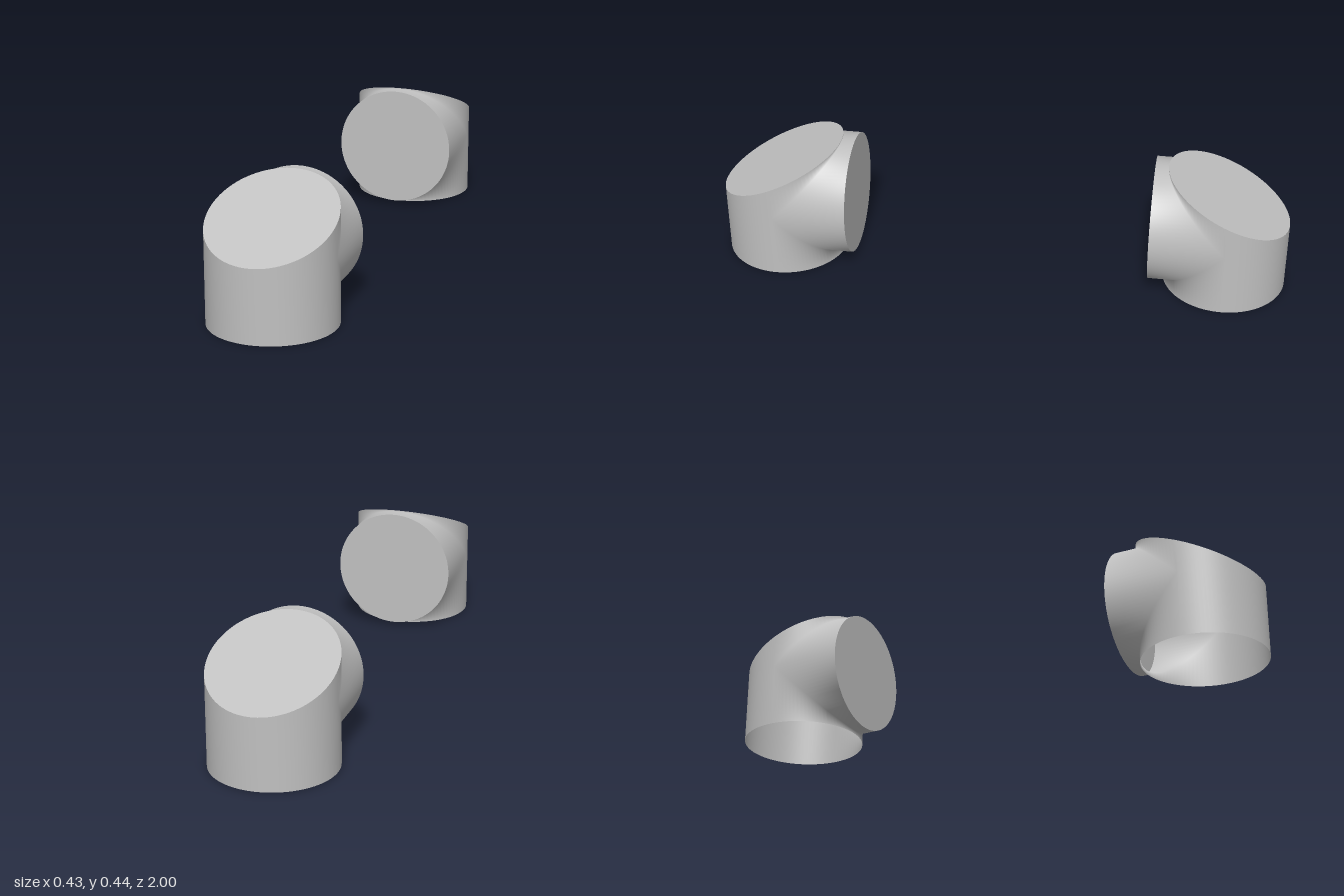
import * as THREE from 'three';
import { mergeVertices } from 'three/addons/utils/BufferGeometryUtils.js';

const R = 0.214;        // radius of both tubes
const ZC = 0.786;       // axis of the upright tube
const YC = 0.227;       // axis of the level tube
const Z_END = 0.526;    // closed end of the level tube
const SEG = 48;         // segments per half turn

// Curves of the elbow, all driven by the angle p about the upright axis
// (p = 0 points along the level tube).
const ring = (y) => (p) => new THREE.Vector3(R * Math.sin(p), y(p), ZC - R * Math.cos(p));
const foot = ring(() => 0);
const rim = ring((p) => 0.346 + 0.0985 * Math.cos(p));
const seamLow = ring((p) => YC - R * Math.cos(p));
const seamHigh = ring((p) => YC + R * Math.cos(p));
const endLow = (p) => seamLow(p).setZ(Z_END);
const endHigh = (p) => seamHigh(p).setZ(Z_END);
const rimCentre = () => new THREE.Vector3(0, 0.346, ZC);

const INNER = -Math.PI / 2;
const OUTER = Math.PI / 2;

// Joins strips of quads between pairs of curves into one smooth surface
function surface(strips) {
  const pos = [];
  for (const [low, high, start] of strips) {
    for (let i = 0; i < SEG; i++) {
      const p = start + (Math.PI * i) / SEG;
      const q = start + (Math.PI * (i + 1)) / SEG;
      const [a, b, c, d] = [low(p), high(p), high(q), low(q)];
      for (const tri of [[a, b, c], [a, c, d]]) {
        const area = new THREE.Triangle(...tri).getArea();
        if (area > 1e-9) for (const v of tri) pos.push(v.x, v.y, v.z);
      }
    }
  }
  const geo = new THREE.BufferGeometry();
  geo.setAttribute('position', new THREE.Float32BufferAttribute(pos, 3));
  const merged = mergeVertices(geo, 1e-5);
  merged.computeVertexNormals();
  return merged;
}

export function createModel() {
  const group = new THREE.Group();
  group.name = 'pipeElbows';
  const grey = new THREE.MeshStandardMaterial({ color: 0xc0c0c0, side: THREE.DoubleSide });
  grey.name = 'grey';

  const parts = {
    // hollow wall of both tubes, open at the foot
    tubeWall: surface([
      [foot, rim, OUTER],
      [foot, seamLow, INNER],
      [seamHigh, rim, INNER],
      [seamLow, endLow, INNER],
      [endHigh, seamHigh, INNER],
    ]),
    // sloping lid
    slopedCap: surface([[rim, rimCentre, INNER], [rim, rimCentre, OUTER]]),
    // flat disc closing the level tube
    endDisc: surface([[endLow, endHigh, INNER]]),
  };

  // two elbows facing each other
  ['frontElbow', 'backElbow'].forEach((name, i) => {
    const elbow = new THREE.Group();
    elbow.name = name;
    for (const [part, geo] of Object.entries(parts)) {
      const mesh = new THREE.Mesh(geo, grey);
      mesh.name = part;
      elbow.add(mesh);
    }
    elbow.rotation.y = i * Math.PI;
    group.add(elbow);
  });
  return group;
}
